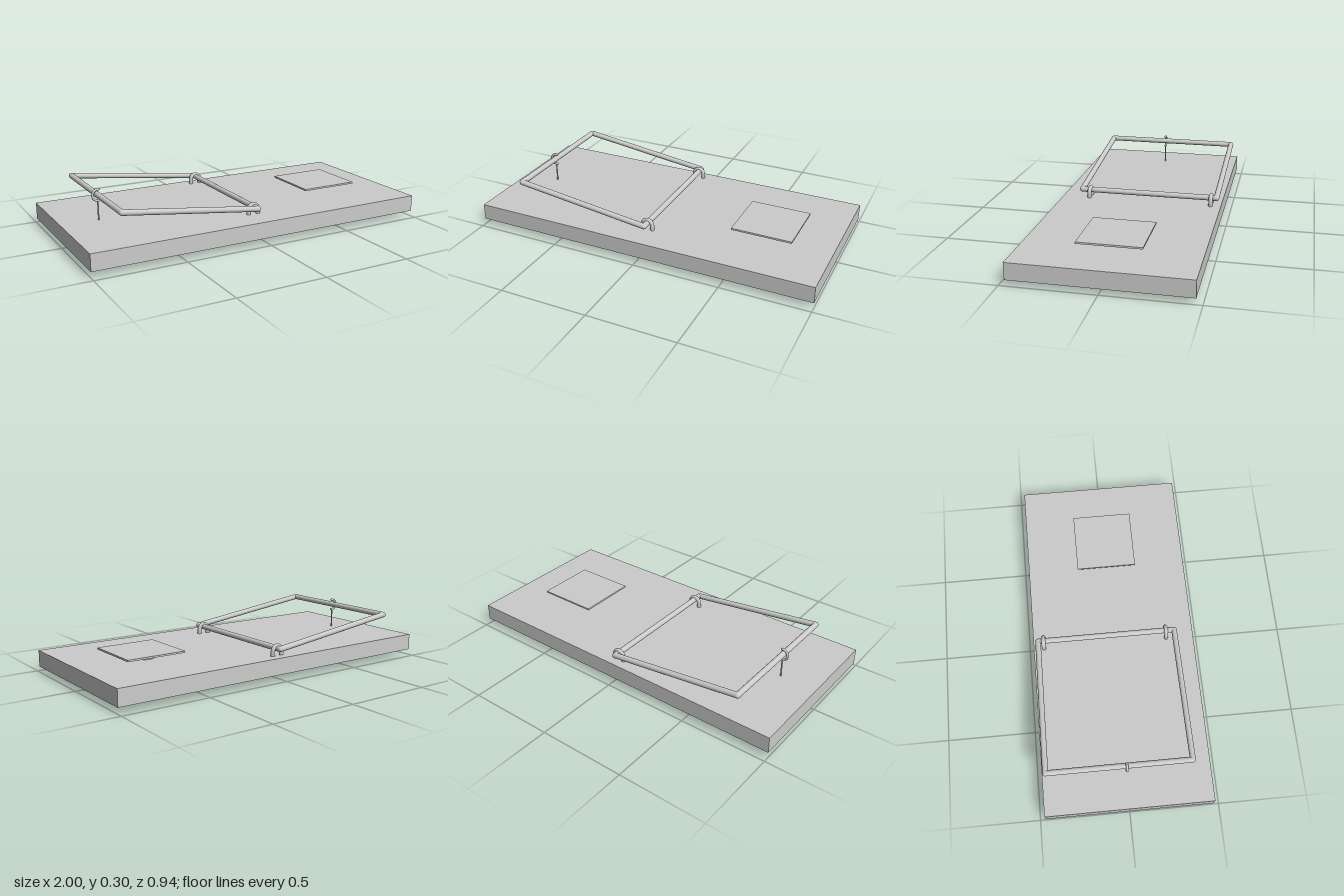
import * as THREE from 'three';

const material = new THREE.MeshStandardMaterial({ color: 0xcccccc });
const v = (x, y, z) => new THREE.Vector3(x, y, z);

function add(parent, name, geometry, x = 0, y = 0, z = 0) {
  const mesh = new THREE.Mesh(geometry, material);
  mesh.name = name;
  mesh.position.set(x, y, z);
  parent.add(mesh);
  return mesh;
}

// Capped round rod between two points
function rod(parent, name, a, b, radius) {
  const dir = b.clone().sub(a);
  const mesh = add(parent, name, new THREE.CylinderGeometry(radius, radius, dir.length(), 20));
  mesh.position.copy(a).add(b).multiplyScalar(0.5);
  mesh.quaternion.setFromUnitVectors(v(0, 1, 0), dir.normalize());
  return mesh;
}

export function createModel() {
  const model = new THREE.Group();
  model.name = 'snapTrap';

  // Board
  add(model, 'base', new THREE.BoxGeometry(2, 0.093, 0.936), 0, 0.0795, 0);

  // Trigger button through the board with its thin plate
  add(model, 'triggerButton', new THREE.CylinderGeometry(0.077, 0.077, 0.16, 40), 0.603, 0.08, 0);
  add(model, 'triggerPlate', new THREE.BoxGeometry(0.346, 0.01, 0.346), 0.61, 0.163, 0);

  // Tilted rectangular wire frame with rounded corners
  const frame = new THREE.Group();
  frame.name = 'hammerFrame';
  model.add(frame);
  const r = 0.016;
  const corners = [
    v(-0.002, 0.167, 0.357), v(-0.789, 0.268, 0.357),
    v(-0.789, 0.268, -0.439), v(-0.002, 0.167, -0.439),
  ];
  corners.forEach((c, i) => {
    rod(frame, 'frameBar', c, corners[(i + 1) % 4], r);
    add(frame, 'frameCorner', new THREE.SphereGeometry(r, 20, 12), c.x, c.y, c.z);
  });

  // Staples holding the hinge bar
  for (const z of [0.308, -0.408]) {
    const points = [v(-0.033, 0.115, 0)];
    for (let i = 0; i <= 10; i++) {
      const a = Math.PI * (1 - i / 10);
      points.push(v(-0.004 + 0.029 * Math.cos(a), 0.152 + 0.029 * Math.sin(a), 0));
    }
    points.push(v(0.025, 0.115, 0));
    add(model, 'staple', new THREE.TubeGeometry(new THREE.CatmullRomCurve3(points), 40, 0.012, 12), 0, 0, z);
  }

  // Thin post with an open hook around the far bar
  rod(model, 'hookPost', v(-0.788, 0.12, 0), v(-0.788, 0.236, 0), 0.004);
  const hook = add(model, 'hook', new THREE.TorusGeometry(0.031, 0.007, 12, 32, Math.PI * 1.1), -0.786, 0.266, 0);
  hook.rotation.z = Math.PI * 0.45;
  for (const a of [0.45, 1.55]) {
    add(model, 'hookTip', new THREE.SphereGeometry(0.007, 12, 8),
      -0.786 + 0.031 * Math.cos(a * Math.PI), 0.266 + 0.031 * Math.sin(a * Math.PI), 0);
  }

  return model;
}
